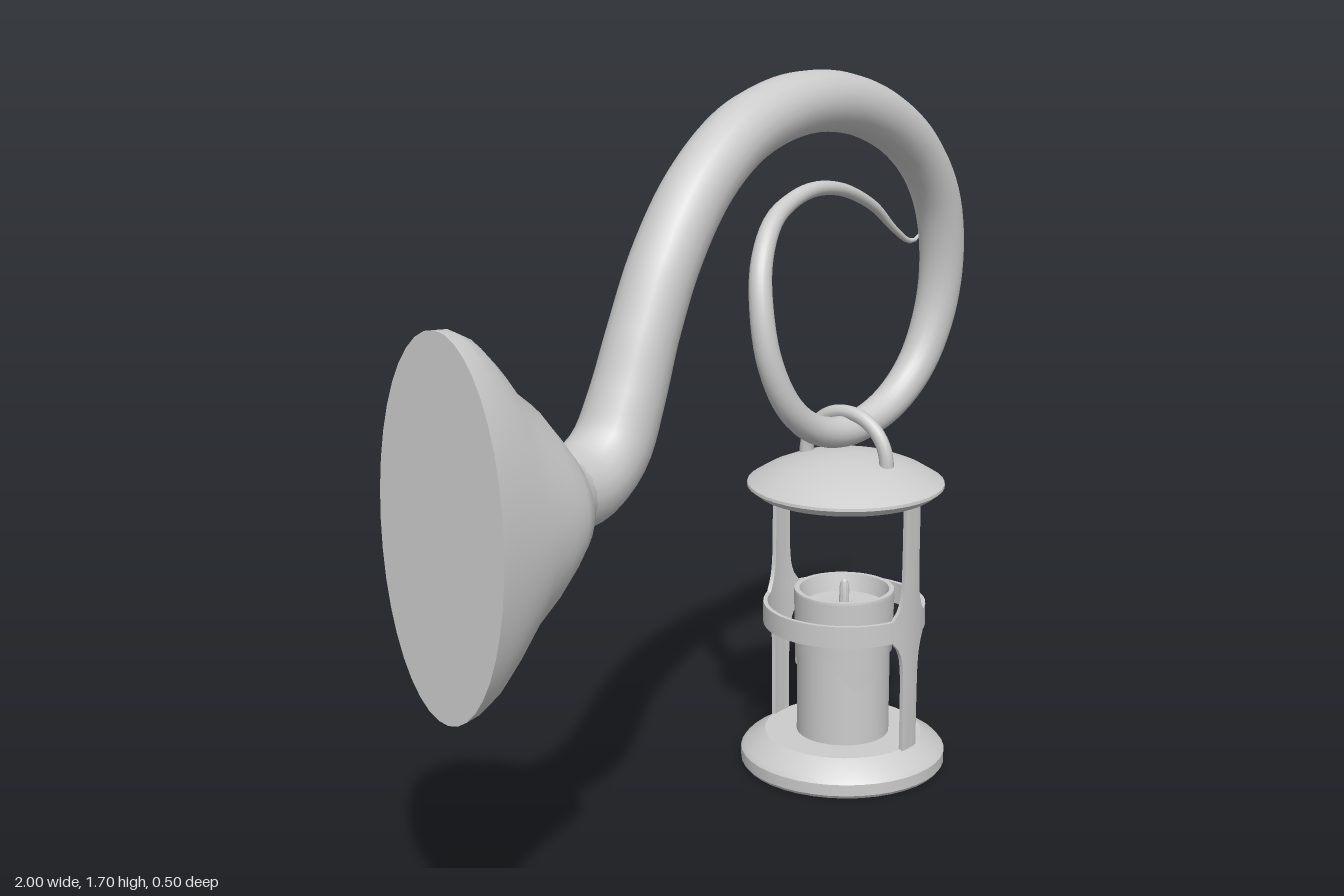
import * as THREE from 'three';
import { toCreasedNormals } from 'three/addons/utils/BufferGeometryUtils.js';

const mat = new THREE.MeshStandardMaterial({ color: 0xcccccc });
const matDouble = new THREE.MeshStandardMaterial({ color: 0xcccccc, side: THREE.DoubleSide });

function add(parent, name, geometry, material = mat) {
  const mesh = new THREE.Mesh(geometry, material);
  mesh.name = name;
  parent.add(mesh);
  return mesh;
}

// Turned part from [radius, height] pairs, listed upwards
function turned(profile, segments = 40) {
  const points = profile.map(([r, y]) => new THREE.Vector2(r, y));
  return toCreasedNormals(new THREE.LatheGeometry(points, segments), 0.55);
}

// Tube whose radius follows the fourth value of each [x, y, z, r] node
function taperedTube(nodes, steps, sides) {
  const curve = new THREE.CatmullRomCurve3(nodes.map(([x, y, z]) => new THREE.Vector3(x, y, z)));
  const geo = new THREE.TubeGeometry(curve, steps, 1, sides);
  const pos = geo.attributes.position;
  const v = new THREE.Vector3();
  for (let i = 0; i <= steps; i++) {
    const centre = curve.getPointAt(i / steps);
    const f = curve.getUtoTmapping(i / steps) * (nodes.length - 1);
    const n = Math.min(Math.floor(f), nodes.length - 2);
    const r = THREE.MathUtils.lerp(nodes[n][3], nodes[n + 1][3], f - n);
    for (let j = 0; j <= sides; j++) {
      const k = i * (sides + 1) + j;
      v.fromBufferAttribute(pos, k).sub(centre).multiplyScalar(r).add(centre);
      pos.setXYZ(k, v.x, v.y, v.z);
    }
  }
  geo.computeBoundingSphere();
  return geo;
}

// Wall flare: oval sections [x, half height, half depth]
function wallFlare() {
  const rows = [
    [-1, 0.382, 0.158], [-0.965, 0.378, 0.158], [-0.93, 0.36, 0.158], [-0.89, 0.318, 0.158],
    [-0.85, 0.262, 0.158], [-0.8, 0.222, 0.158], [-0.765, 0.175, 0.158], [-0.74, 0.14, 0.15],
    [-0.71, 0.108, 0.112], [-0.68, 0.09, 0.092], [-0.65, 0.085, 0.085],
  ];
  const points = [new THREE.Vector2(0, -1), ...rows.map(([x, hy]) => new THREE.Vector2(hy, x))];
  const geo = new THREE.LatheGeometry(points, 40);
  geo.rotateZ(-Math.PI / 2);
  const pos = geo.attributes.position;
  for (let k = 0; k < pos.count; k++) {
    const row = rows.find(([x]) => Math.abs(x - pos.getX(k)) < 1e-4);
    pos.setZ(k, pos.getZ(k) * row[2] / row[1]);
  }
  geo.translate(0, 0.95, 0.072);
  return toCreasedNormals(geo, 0.9);
}

// Thin upright, flared where it meets the band and bent round the lantern
function upright() {
  const bottom = 0.07, top = 0.7, radius = 0.19;
  const geo = new THREE.BoxGeometry(1, top - bottom, 0.01, 6, 40, 1);
  geo.translate(0, (top + bottom) / 2, 0);
  const pos = geo.attributes.position;
  for (let k = 0; k < pos.count; k++) {
    const y = pos.getY(k);
    const gap = Math.max(0, Math.abs(y - 0.383) - 0.022);
    const width = 0.058 + 0.085 * Math.exp(-gap / 0.028);
    const a = pos.getX(k) * width / radius;
    const r = radius + pos.getZ(k);
    pos.setXYZ(k, Math.sin(a) * r, y, Math.cos(a) * r);
  }
  return toCreasedNormals(geo, 0.7);
}

function candle() {
  const group = new THREE.Group();
  group.name = 'candle';
  add(group, 'candleBody', turned([
    [0, 0.08], [0.112, 0.08], [0.112, 0.42], [0.121, 0.432], [0.12, 0.442],
    [0.108, 0.442], [0.098, 0.4], [0, 0.395],
  ]));

  // Melted wax skirt with a wavy lower edge
  const drip = new THREE.CylinderGeometry(0.121, 0.117, 0.16, 60, 1, true);
  const pos = drip.attributes.position;
  for (let k = 0; k < pos.count; k++) {
    const b = Math.atan2(pos.getZ(k), pos.getX(k));
    const edge = 0.27 - 0.04 * Math.cos(3 * b - 0.5) + 0.012 * Math.sin(5 * b);
    pos.setY(k, pos.getY(k) > 0 ? 0.437 : edge);
  }
  add(group, 'meltedWax', drip, matDouble);

  add(group, 'wick', turned([[0.012, 0.39], [0.012, 0.445], [0.008, 0.46], [0, 0.467]], 10));
  return group;
}

function lantern() {
  const group = new THREE.Group();
  group.name = 'lantern';

  add(group, 'lanternBase', turned([
    [0, 0], [0.242, 0], [0.248, 0.008], [0.248, 0.036], [0.238, 0.048], [0.19, 0.08], [0, 0.08],
  ]));
  add(group, 'lanternRoof', turned([
    [0, 0.685], [0.212, 0.685], [0.235, 0.703], [0.234, 0.71], [0.19, 0.737],
    [0.14, 0.758], [0.08, 0.774], [0.03, 0.78], [0, 0.781],
  ]));
  add(group, 'band', turned([
    [0.185, 0.357], [0.195, 0.357], [0.195, 0.41], [0.185, 0.41], [0.185, 0.357],
  ], 48));

  for (const side of [0, 1]) add(group, 'upright', upright()).rotation.y = side * Math.PI;

  // Arched handle through which the scroll passes
  const handle = add(group, 'handle', new THREE.TorusGeometry(0.115, 0.017, 10, 28, Math.PI));
  handle.rotation.y = Math.PI / 2;
  handle.position.y = 0.763;

  group.add(candle());
  group.position.x = 0.422;
  return group;
}

export function createModel() {
  const model = new THREE.Group();
  model.name = 'wallLantern';

  add(model, 'wallMount', wallFlare());

  // Scrolled arm: rises from the wall, curls into a loop and ends in a thin tail
  add(model, 'scrolledArm', taperedTube([
    [-0.74, 0.957, 0.072, 0.09], [-0.6, 0.955, 0.072, 0.086], [-0.52, 1.005, 0.072, 0.083],
    [-0.465, 1.1, 0.072, 0.078], [-0.41, 1.225, 0.072, 0.074], [-0.34, 1.36, 0.073, 0.073],
    [-0.235, 1.49, 0.073, 0.072], [-0.1, 1.583, 0.073, 0.071], [0.03, 1.622, 0.073, 0.07],
    [0.15, 1.633, 0.073, 0.068], [0.3, 1.617, 0.073, 0.066], [0.465, 1.56, 0.073, 0.063],
    [0.6, 1.47, 0.071, 0.059], [0.69, 1.35, 0.068, 0.056], [0.728, 1.2, 0.06, 0.053],
    [0.716, 1.064, 0.048, 0.05], [0.663, 0.947, 0.032, 0.046], [0.567, 0.866, 0.014, 0.042],
    [0.425, 0.832, -0.003, 0.038], [0.315, 0.856, -0.017, 0.035], [0.23, 0.925, -0.03, 0.032],
    [0.18, 1.037, -0.048, 0.03], [0.176, 1.155, -0.068, 0.028], [0.205, 1.25, -0.09, 0.026],
    [0.278, 1.33, -0.115, 0.023], [0.374, 1.366, -0.135, 0.02], [0.49, 1.382, -0.147, 0.018],
    [0.62, 1.364, -0.153, 0.016], [0.76, 1.305, -0.157, 0.013], [0.85, 1.24, -0.16, 0.009],
    [0.925, 1.197, -0.162, 0.007], [0.957, 1.195, -0.163, 0.005], [1, 1.22, -0.164, 0.002],
  ], 160, 20));

  model.add(lantern());
  return model;
}
